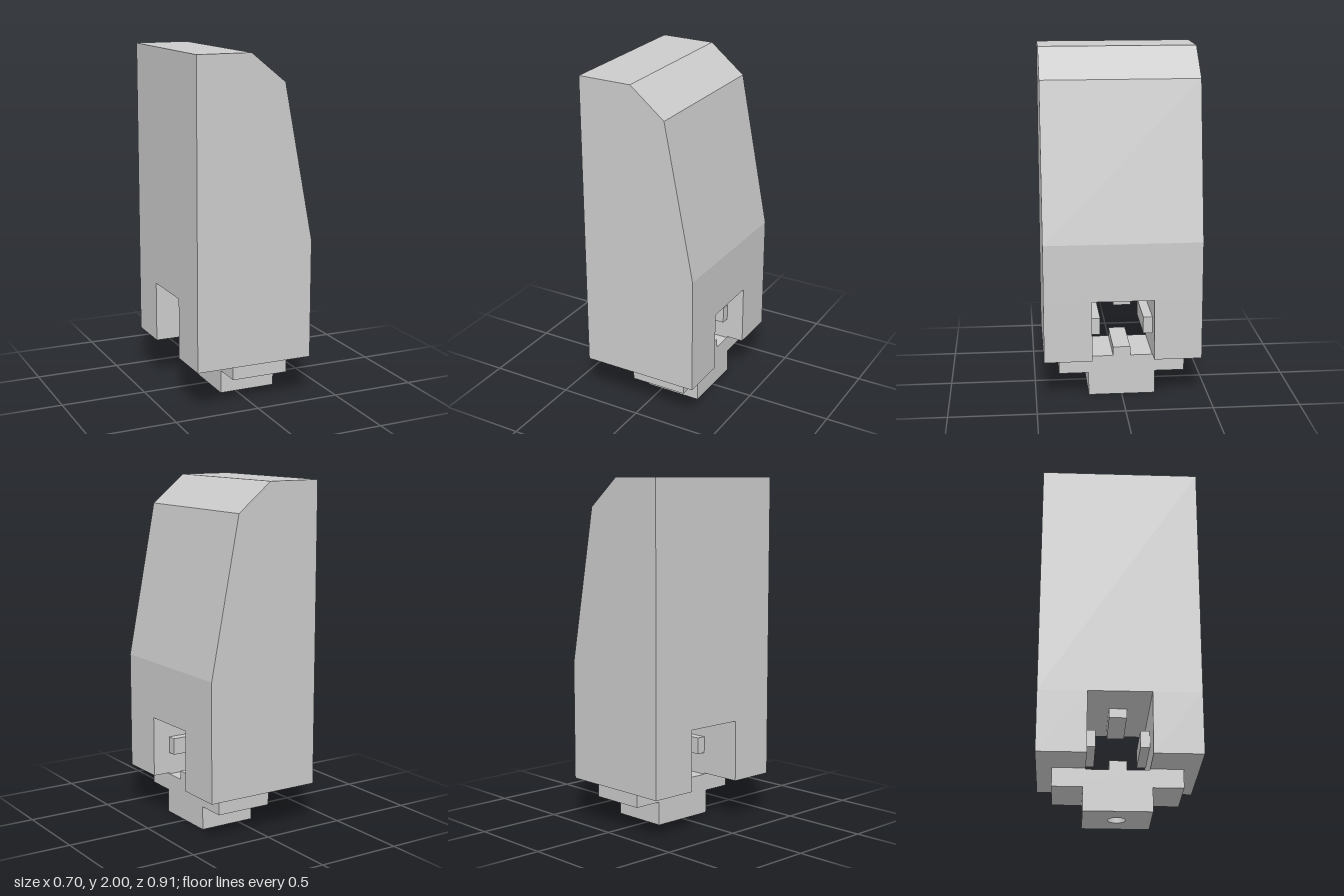
import * as THREE from 'three';

const material = new THREE.MeshStandardMaterial({ color: 0xcccccc });

const outline = (points) => new THREE.Shape(points.map(([x, y]) => new THREE.Vector2(x, y)));

const extrude = (shape, depth) =>
  new THREE.ExtrudeGeometry(shape, { depth, bevelEnabled: false, curveSegments: 24 });

export function createModel() {
  const model = new THREE.Group();

  const add = (name, geometry) => {
    const mesh = new THREE.Mesh(geometry, material);
    mesh.name = name;
    model.add(mesh);
  };
  // Axis-aligned block given by its lower and upper limits
  const addBlock = (name, [x0, x1], [y0, y1], [z0, z1]) => {
    const box = new THREE.BoxGeometry(x1 - x0, y1 - y0, z1 - z0);
    add(name, box.translate((x0 + x1) / 2, (y0 + y1) / 2, (z0 + z1) / 2));
  };

  const halfX = 0.35, halfZ = 0.453;
  const bottom = 0.245, slotTop = 0.6, slotHalf = 0.178;
  const insertX = [-0.095, 0.245];
  const insertLength = insertX[1] - insertX[0];

  // Upper body with its sloped and chamfered right side
  const profile = outline([
    [-halfX, slotTop], [halfX, slotTop], [halfX, 0.935],
    [0.175, 1.835], [-0.03, 2], [-halfX, 2],
  ]);
  add('upperBody', extrude(profile, 2 * halfZ).translate(0, 0, -halfZ));

  // Cheeks either side of the open slot, each with a key on its inner wall
  for (const [side, s] of [['front', 1], ['back', -1]]) {
    const span = (a, b) => (s > 0 ? [a, b] : [-b, -a]);
    addBlock(side + 'Cheek', [-halfX, halfX], [bottom, slotTop], span(slotHalf, halfZ));
    addBlock(side + 'Key', insertX, [0.37, 0.468], span(0.125, slotHalf));
  }
  addBlock('topKey', insertX, [0.546, slotTop], [-0.05, 0.05]);

  // Wide foot plate with a raised key along its middle
  const half = [[0.365, 0.137], [0.365, bottom], [slotHalf, bottom], [slotHalf, 0.238], [0.05, 0.238], [0.05, 0.29]];
  const plate = outline([...half, ...half.map(([z, y]) => [-z, y]).reverse()]);
  add('footPlate', extrude(plate, insertLength).rotateY(Math.PI / 2).translate(insertX[0], 0, 0));

  // Foot block with a round socket in its underside
  const block = outline([
    [insertX[0], -0.193], [insertX[1], -0.193], [insertX[1], 0.193], [insertX[0], 0.193],
  ]);
  block.holes.push(new THREE.Path().absarc((insertX[0] + insertX[1]) / 2, 0, 0.05, 0, Math.PI * 2, true));
  add('footBlock', extrude(block, 0.137).rotateX(-Math.PI / 2));

  return model;
}
